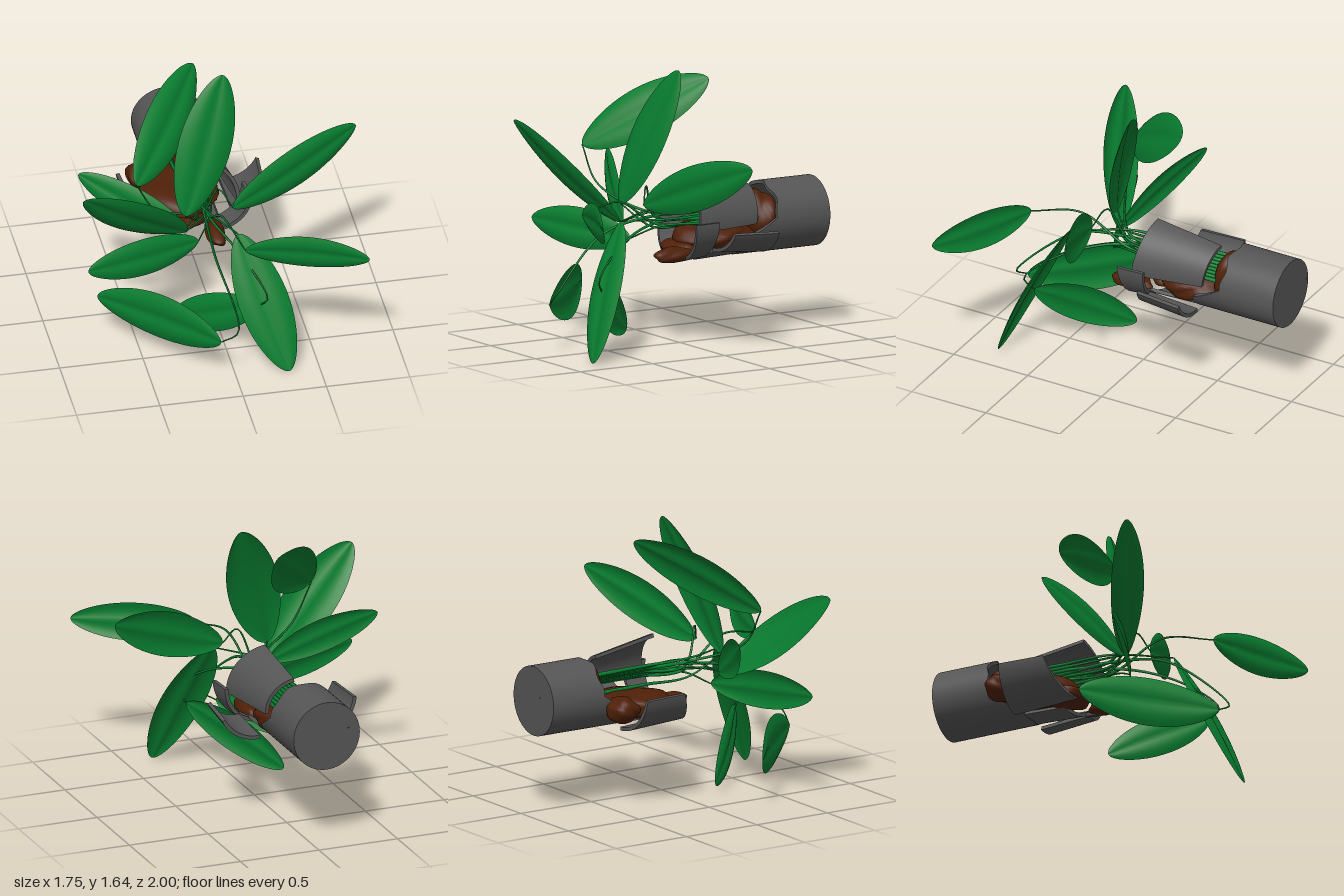
import * as THREE from 'three';

const V = (a) => new THREE.Vector3(...a);
const RAD = Math.PI / 180;
const { lerp, clamp } = THREE.MathUtils;
const mat = (color) => new THREE.MeshStandardMaterial({ color, side: THREE.DoubleSide });

// Move every vertex of a geometry by a rule
function warp(geo, rule) {
  const p = geo.attributes.position, v = new THREE.Vector3();
  for (let i = 0; i < p.count; i++) {
    v.fromBufferAttribute(p, i);
    rule(v, i);
    p.setXYZ(i, v.x, v.y, v.z);
  }
  geo.computeVertexNormals();
  return geo;
}

// Leaf blade from base to tip: a blunt oval facing forward (turned by roll), with a soft midrib groove
function leafGeometry({ base, tip, width, roll = 0, bend = 0.02 }) {
  const a = V(base), axis = V(tip).sub(a), dir = axis.clone().normalize();
  const front = new THREE.Vector3(0, 0, 1);
  const n = front.addScaledVector(dir, -dir.z).normalize().applyAxisAngle(dir, roll * RAD);
  const side = new THREE.Vector3().crossVectors(dir, n);
  return warp(new THREE.PlaneGeometry(2, 1, 12, 32), (v) => {
    const t = 0.5 + 0.5 * Math.sin(Math.PI * v.y), s = v.x;
    const w = (width / 2) * Math.pow(Math.max(0, Math.sin(Math.PI * t)), 0.56);
    const lift = bend * Math.sin(Math.PI * t) + w * (0.1 * Math.sin(Math.PI * Math.abs(s)) - 0.08 * s * s);
    v.copy(a).addScaledVector(axis, t).addScaledVector(side, s * w).addScaledVector(n, lift);
  });
}

// Stem: tube that thins towards the leaf
function stemGeometry(points, r0, r1) {
  const curve = new THREE.CatmullRomCurve3(points), n = 48, sides = 8;
  return warp(new THREE.TubeGeometry(curve, n, r0, sides), (v, i) => {
    const t = Math.floor(i / (sides + 1)) / n;
    const c = curve.getPointAt(t);
    v.sub(c).multiplyScalar(lerp(1, r1 / r0, t)).add(c);
  });
}

// Curved wall piece around the z axis, between two angles; its ends follow back(u) and front(u)
function wallGeometry([cx, cy], [r0, r1], [a0, a1], back, front) {
  return warp(new THREE.BoxGeometry(1, 1, 1, 64, 1, 8), (v) => {
    const u = 0.5 - v.x, w = v.z + 0.5, a = lerp(a0, a1, u) * RAD;
    const r = lerp(r0, r1, w) + (v.y - 0.5) * 0.022;
    v.set(cx + Math.cos(a) * r, cy + Math.sin(a) * r, lerp(back(u), front(u), w));
  });
}

// Lumpy clod of earth
function clodGeometry(c, r, seed) {
  return warp(new THREE.SphereGeometry(1, 32, 24), (v) => {
    const k = 1 + 0.07 * Math.sin(3 * v.x + 2 * v.y + seed) + 0.06 * Math.sin(4 * v.z - 4 * v.x + seed * 2)
      + 0.04 * Math.sin(6 * v.y + 5 * v.z + seed * 3);
    v.multiplyScalar(k).multiply(V(r)).add(V(c));
  });
}

export function createModel() {
  const model = new THREE.Group();
  const green = mat(0x087d30), earth = mat(0x4f2008), clay = mat(0x555555);
  const group = (name) => {
    const g = new THREE.Group();
    g.name = name;
    model.add(g);
    return g;
  };
  const add = (parent, name, geo, material) => {
    const m = new THREE.Mesh(geo, material);
    m.name = name;
    parent.add(m);
  };

  // Broken pot lying on its side, its lower lip reaching further forward
  const pot = group('brokenPot');
  const lip = (u) => {
    const a = u * Math.PI * 2;
    return -0.5 - 0.1 * clamp(4 * (Math.sin(a) + 0.15), -1, 1) + 0.012 * Math.sin(7 * a);
  };
  add(pot, 'potWall', wallGeometry([-0.068, 0.69], [0.21, 0.21], [0, 360], () => -0.955, lip), clay);
  const bottom = new THREE.CylinderGeometry(0.205, 0.205, 0.02, 48);
  bottom.rotateX(Math.PI / 2).translate(-0.068, 0.69, -0.945);
  add(pot, 'potBottom', bottom, clay);

  // Shards: centre, radii, angles, then back and front ends at the first and last angle
  const shards = group('shards');
  [
    [[-0.08, 0.7], [0.2, 0.27], [-5, 80], [-0.46, -0.5], [-0.02, -0.08]],
    [[0.17, 0.77], [0.24, 0.215], [-95, -25], [-0.45, -0.45], [-0.13, -0.16]],
    [[0, 0.74], [0.24, 0.25], [-80, 0], [-0.11, -0.13], [0, 0.04]],
    [[-0.22, 0.73], [0.26, 0.24], [-172, -90], [-0.42, -0.44], [-0.14, -0.03]],
    [[-0.07, 0.71], [0.225, 0.235], [-110, -50], [-0.42, -0.42], [-0.15, -0.09]],
  ].forEach(([c, r, a, back, front]) =>
    add(shards, 'shard', wallGeometry(c, r, a, (u) => lerp(...back, u), (u) => lerp(...front, u)), clay));
  add(shards, 'crumb', new THREE.IcosahedronGeometry(0.006).translate(-0.19, 0.74, -0.994), clay);

  // Spilled soil: centre and radii of each clod
  const soil = group('soil');
  [
    [[-0.06, 0.69, -0.58], [0.155, 0.15, 0.09]],
    [[-0.12, 0.6, -0.33], [0.24, 0.09, 0.25]],
    [[-0.3, 0.62, -0.48], [0.1, 0.08, 0.1]],
    [[-0.16, 0.54, -0.12], [0.14, 0.05, 0.13]],
    [[0.02, 0.53, 0.06], [0.06, 0.045, 0.13]],
  ].forEach(([c, r], i) => add(soil, 'clod', clodGeometry(c, r, i * 1.7), earth));

  // Leaves, each on a stem from the pot; "via" bends the stems that loop or hang
  const leaves = group('leaves'), stems = group('stems');
  [
    { base: [-0.2, 0.83, 0.29], tip: [0.07, 1.64, 0.05], width: 0.33 },
    { base: [-0.51, 1.14, 0.36], tip: [-0.05, 1.55, -0.23], width: 0.32, via: [[-0.38, 0.92, 0.33]] },
    { base: [-0.2, 0.72, 0.29], tip: [-0.87, 1.25, 0.61], width: 0.31, roll: -23 },
    { base: [-0.12, 0.63, 0.27], tip: [-0.83, 0.67, 0.51], width: 0.24, roll: 8 },
    { base: [-0.2, 0.72, 0.27], tip: [-0.79, 1.03, 0.02], width: 0.21 },
    { base: [0.08, 0.86, 0.3], tip: [0.87, 1.17, 0.04], width: 0.27, roll: 6, via: [[0.01, 0.96, 0.24]] },
    { base: [0.07, 0.84, 0.72], tip: [0.76, 0.87, 1], width: 0.23, roll: 6, bend: -0.02, via: [[0, 0.88, 0.42]] },
    { base: [0.08, 0.78, 0.46], tip: [0.32, 0, 0.8], width: 0.3, roll: -6 },
    { base: [-0.1, 0.29, 0.84], tip: [-0.72, 0.29, 0.23], width: 0.31, bend: -0.02, via: [[-0.07, 0.68, 0.5], [0, 0.36, 0.86]] },
    { base: [0.17, 0.38, 0.64], tip: [-0.27, 0.06, 0.2], width: 0.24, roll: 31, via: [[0.1, 0.63, 0.48], [0.21, 0.46, 0.69]] },
  ].forEach((leaf, i) => {
    add(leaves, 'leaf', leafGeometry(leaf), green);
    const x = -0.14 + 0.02 * ((i * 3) % 10), y = 0.69 + 0.012 * ((i * 7) % 10);
    const points = [[x, y, -0.62], [x * 0.8, y, -0.2], [x * 0.4 - 0.04, y, 0.13], ...(leaf.via ?? []), leaf.base];
    add(stems, 'stem', stemGeometry(points.map(V), 0.014, 0.004), green);
  });
  return model;
}
